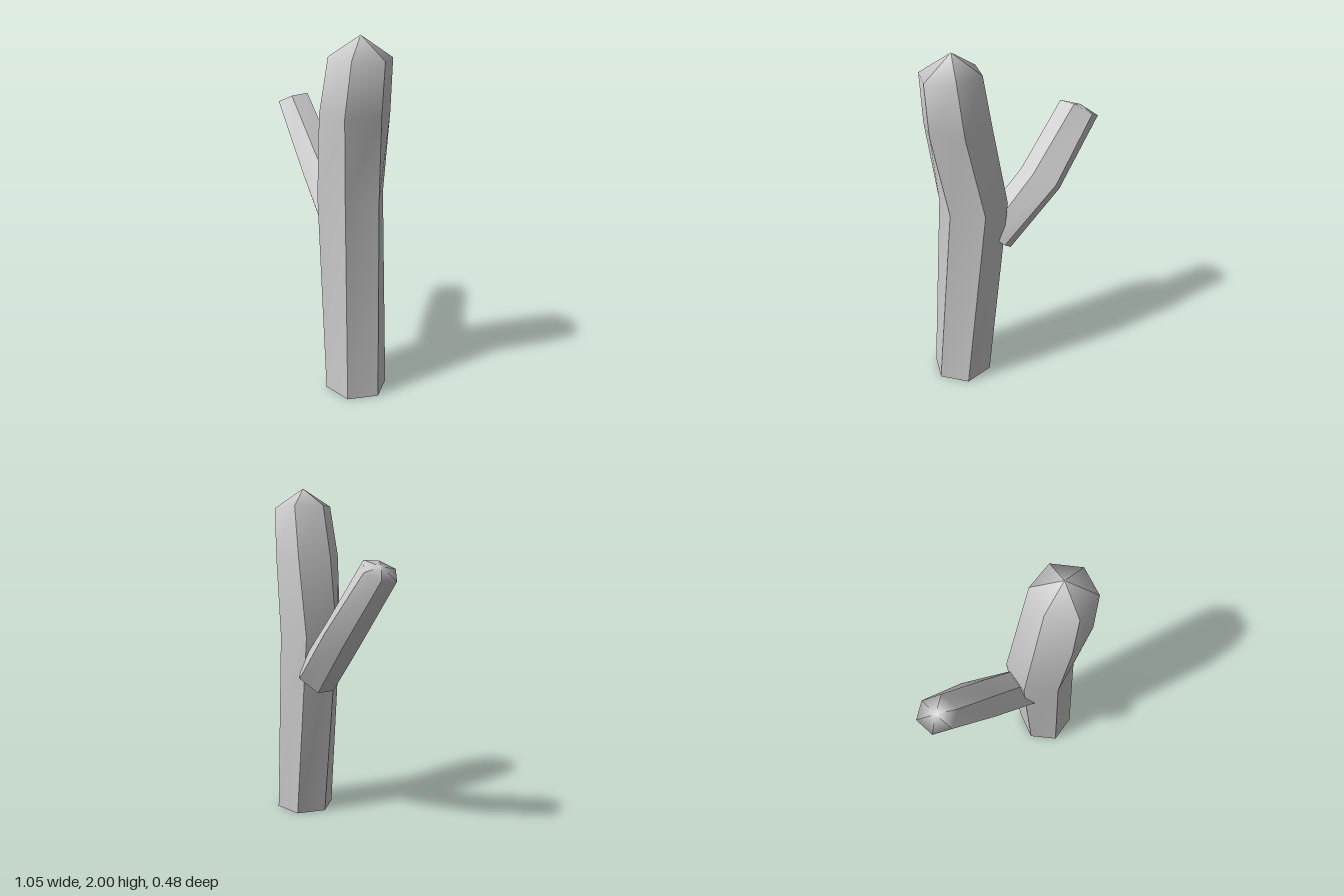
import * as THREE from 'three';

const SIDES = 6;

// Six corners around a centre, counterclockwise from above
function hexRing([x, y, z], radius, twist = 0, slope = 0) {
  return Array.from({ length: SIDES }, (_, i) => {
    const a = i * Math.PI / 3 + twist;
    const dx = Math.cos(a) * radius;
    return [x + dx, y + dx * slope, z - Math.sin(a) * radius];
  });
}

// Six corners from a centre and three neighbouring corner offsets, mirrored through the centre
function skewRing(c, offsets) {
  const at = (o, s) => c.map((v, k) => v + s * o[k]);
  return [...offsets.map(o => at(o, 1)), ...offsets.map(o => at(o, -1))];
}

// Hexagonal limb: every side is its own strip, smooth along its length
// and over the pointed tip, sharp towards its neighbours
function limb(name, rings, apex, material) {
  const pos = [], index = [];
  for (let i = 0; i < SIDES; i++) {
    const j = (i + 1) % SIDES, start = pos.length / 3;
    rings.forEach((ring, r) => {
      pos.push(...ring[i], ...ring[j]);
      const a = start + r * 2;
      if (r < rings.length - 1) index.push(a, a + 1, a + 3, a, a + 3, a + 2);
      else index.push(a, a + 1, a + 2);
    });
    pos.push(...apex);
  }
  // flat bottom
  const base = pos.length / 3;
  rings[0].forEach(p => pos.push(...p));
  for (let i = 1; i < SIDES - 1; i++) index.push(base, base + i + 1, base + i);

  const geometry = new THREE.BufferGeometry();
  geometry.setAttribute('position', new THREE.Float32BufferAttribute(pos, 3));
  geometry.setIndex(index);
  geometry.computeVertexNormals();
  const mesh = new THREE.Mesh(geometry, material);
  mesh.name = name;
  return mesh;
}

export function createModel() {
  const group = new THREE.Group();
  group.name = 'branchedStem';
  const material = new THREE.MeshStandardMaterial({ color: 0xcccccc });

  // Bent main stem with a pointed top
  group.add(limb('stem', [
    hexRing([0.345, 0, 0.068], 0.178),
    hexRing([0.247, 1.135, 0.034], 0.195, 0.13, -0.03),
    hexRing([0.31, 1.6, 0.07], 0.193),
    hexRing([0.347, 1.89, 0.07], 0.172, 0, -0.06),
  ], [0.34, 2, 0.066], material));

  // Side branch leaning out to the right and back
  const root = [[-0.02, -0.01, 0.125], [0.08, 0.07, 0.07], [0.09, 0.075, -0.05]];
  const bend = [[-0.018, -0.01, 0.136], [0.072, 0.06, 0.086], [0.092, 0.07, -0.029]];
  const end = [[-0.015, 0.005, 0.11], [0.075, 0.046, 0.08], [0.087, 0.054, -0.033]];
  group.add(limb('sideBranch', [
    skewRing([0.15, 0.88, -0.015], root),
    skewRing([-0.152, 1.19, -0.106], bend),
    skewRing([-0.437, 1.555, -0.135], end),
  ], [-0.445, 1.575, -0.135], material));

  return group;
}
